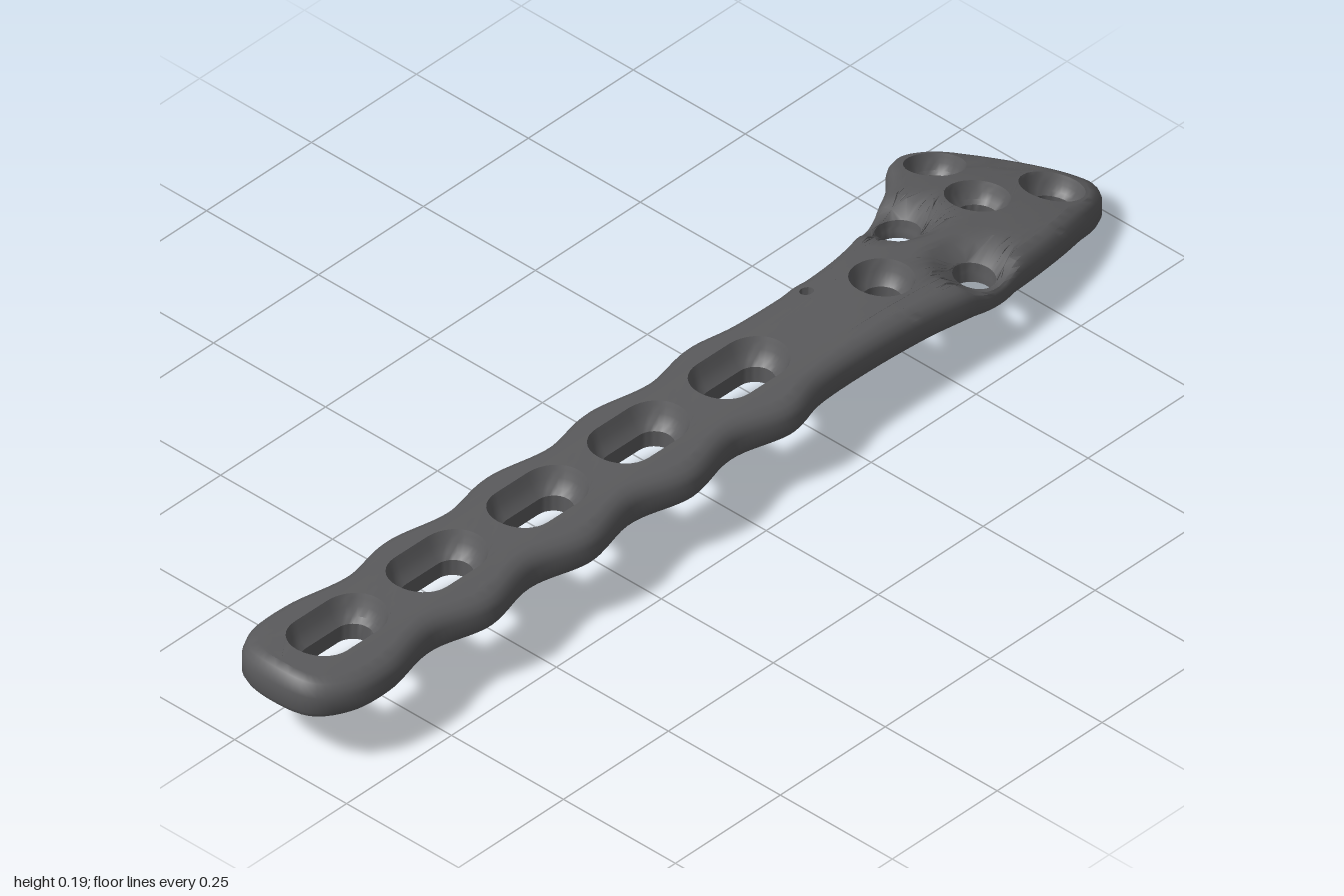
import * as THREE from 'three';
import { toCreasedNormals } from 'three/addons/utils/BufferGeometryUtils.js';

const V = (x, z) => new THREE.Vector2(x, z); // plan coordinates
const { smoothstep, clamp } = THREE.MathUtils;

// Holes: centre, half length of the straight part, radius, countersink flare
const slots = [-0.838, -0.6, -0.36, -0.12, 0.12].map(x => ({ x, z: 0.077, h: 0.038, r: 0.034, f: 0.024 }));
const screw = (x, z, f) => ({ x, z, h: 0, r: 0.034, f });
const edgeHoles = [screw(0.62, -0.037, 0.004), screw(0.615, 0.138, 0.002)];
const holes = [
  ...slots, ...edgeHoles,
  screw(0.462, 0.075, 0.021), screw(0.77, 0, 0.021), screw(0.807, -0.13, 0.018), screw(0.903, 0.042, 0.021),
  { x: 0.35, z: 0.012, h: 0, r: 0.01, f: 0.002 }, // pin hole
];

// Plan outline: scalloped shaft and flared, slanted head
function outlineCurve() {
  const back = [], front = [];
  for (const s of slots) {
    back.push([s.x, -0.044]);
    front.unshift([s.x, 0.202]);
    if (s.x < 0.1) {
      back.push([s.x + 0.12, -0.021]);
      front.unshift([s.x + 0.12, 0.179]);
    }
  }
  const points = [
    [-1, 0.08], [-0.985, 0.005], [-0.925, -0.038], ...back,
    [0.21, -0.029], [0.4, -0.029], [0.5, -0.045], [0.6, -0.083], [0.7, -0.14], [0.765, -0.197],
    [0.81, -0.211], [0.858, -0.185], [0.93, -0.08], [0.985, 0.01], [0.997, 0.055], [0.97, 0.09],
    [0.85, 0.142], [0.7, 0.178], [0.58, 0.19], [0.45, 0.183], [0.21, 0.182],
    ...front, [-0.925, 0.195], [-0.985, 0.155],
  ];
  return new THREE.CatmullRomCurve3(points.map(([x, z]) => new THREE.Vector3(x, z, 0)), true);
}

// Bent and twisted plate: plan position and height fraction t to a 3D point
function bend(x, z, t) {
  const head = smoothstep(x, 0.35, 0.75);
  const bottom = 0.115 - 0.01 * (x + 1) - 0.278 * Math.pow(Math.max(0, x - 0.3), 2.87)
    - 0.55 * head * (z - 0.05) ** 2;
  let thick = 0.078 - 0.013 * head - 0.014 * (1 - head) * ((z - 0.08) / 0.11) ** 2;
  // Screw seats that cut through the rim of the head
  for (const e of edgeHoles) {
    thick -= 0.03 * (1 - smoothstep(Math.hypot(x - e.x, z - e.z), 0.032, 0.085));
  }
  return [x, bottom + t * thick, z];
}

// Slot or round hole as a closed loop
function holeLoop({ x, z, h, r }, grow) {
  const loop = [], R = r + grow, n = 16;
  for (const side of [1, -1]) {
    for (let i = 0; i <= n; i++) {
      if (h === 0 && i === n) continue;
      const a = (i / n - 0.5) * Math.PI;
      loop.push(V(x + side * (h + R * Math.cos(a)), z + side * R * Math.sin(a)));
    }
    if (h > 0) for (const k of [1 / 3, -1 / 3]) loop.push(V(x + side * h * k, z + side * R));
  }
  return loop;
}

// Outline moved inwards, less so where a hole sits close to the rim
function rimLoops(profile) {
  const curve = outlineCurve(), n = 300, base = [];
  for (let i = 0; i < n; i++) {
    const p = curve.getPointAt(i / n), d = curve.getTangentAt(i / n);
    const room = Math.min(...holes.map(o => Math.hypot(p.x - o.x, p.y - o.z) - o.r - o.f));
    base.push({ p, d, s: clamp((room - 0.004) / 0.03, 0.08, 1) });
  }
  return profile.map(([inset]) => base.map(({ p, d, s }) => V(p.x - d.y * inset * s, p.y + d.x * inset * s)));
}

function plateGeometry() {
  const positions = [];
  const tri = (a, b, c, ta, tb, tc) =>
    positions.push(...bend(a.x, a.y, ta), ...bend(b.x, b.y, tb), ...bend(c.x, c.y, tc));

  // Wall lofted through loops at rising heights
  const wall = (loops, heights, outward) => {
    for (let k = 0; k + 1 < loops.length; k++) {
      const lo = loops[k], hi = loops[k + 1], t = heights[k], u = heights[k + 1];
      for (let i = 0; i < lo.length; i++) {
        const j = (i + 1) % lo.length;
        if (outward) {
          tri(lo[i], hi[j], lo[j], t, u, t);
          tri(lo[i], hi[i], hi[j], t, u, u);
        } else {
          tri(lo[i], lo[j], hi[j], t, t, u);
          tri(lo[i], hi[j], hi[i], t, u, u);
        }
      }
    }
  };

  // Cap triangles, halved until short enough to follow the bend
  const fill = (a, b, c, t) => {
    const ab = a.distanceTo(b), bc = b.distanceTo(c), ca = c.distanceTo(a);
    const longest = Math.max(ab, bc, ca);
    if (longest < 0.04) return tri(a, b, c, t, t, t);
    if (longest === bc) [a, b, c] = [b, c, a];
    else if (longest === ca) [a, b, c] = [c, a, b];
    const m = V((a.x + b.x) / 2, (a.y + b.y) / 2);
    fill(a, m, c, t);
    fill(m, b, c, t);
  };
  const cap = (contour, inner, t) => {
    const all = [contour, ...inner].flat();
    for (const [i, j, k] of THREE.ShapeUtils.triangulateShape(contour, inner)) {
      const ccw = THREE.ShapeUtils.area([all[i], all[j], all[k]]) > 0;
      if (ccw === (t === 0)) fill(all[i], all[j], all[k], t);
      else fill(all[i], all[k], all[j], t);
    }
  };

  // Rounded rim
  const profile = [[0.02, 0], [0.006, 0.07], [0, 0.22], [0, 0.65], [0.004, 0.82], [0.012, 0.94], [0.026, 1]];
  const rim = rimLoops(profile);
  wall(rim, profile.map(p => p[1]), true);

  // Holes with bowl-shaped countersinks
  const bowl = [[0, 0], [0, 0.4], [0.35, 0.52], [0.68, 0.72], [0.88, 0.9], [1, 1]];
  const bores = holes.map(o => bowl.map(([g]) => holeLoop(o, g * o.f)));
  bores.forEach(loops => wall(loops, bowl.map(b => b[1]), false));

  // Underside and upper face
  cap(rim[0], bores.map(b => b[0]), 0);
  cap(rim.at(-1), bores.map(b => b.at(-1)), 1);

  const geometry = new THREE.BufferGeometry();
  geometry.setAttribute('position', new THREE.Float32BufferAttribute(positions, 3));
  geometry.computeBoundingBox();
  geometry.translate(0, -geometry.boundingBox.min.y, 0);
  return toCreasedNormals(geometry, 0.65);
}

export function createModel() {
  const metal = new THREE.MeshStandardMaterial({ color: 0x5b5b5d });
  metal.name = 'darkGreyMetal';
  const plate = new THREE.Mesh(plateGeometry(), metal);
  plate.name = 'perforatedPlate';
  const group = new THREE.Group();
  group.name = 'bonePlate';
  group.add(plate);
  return group;
}
